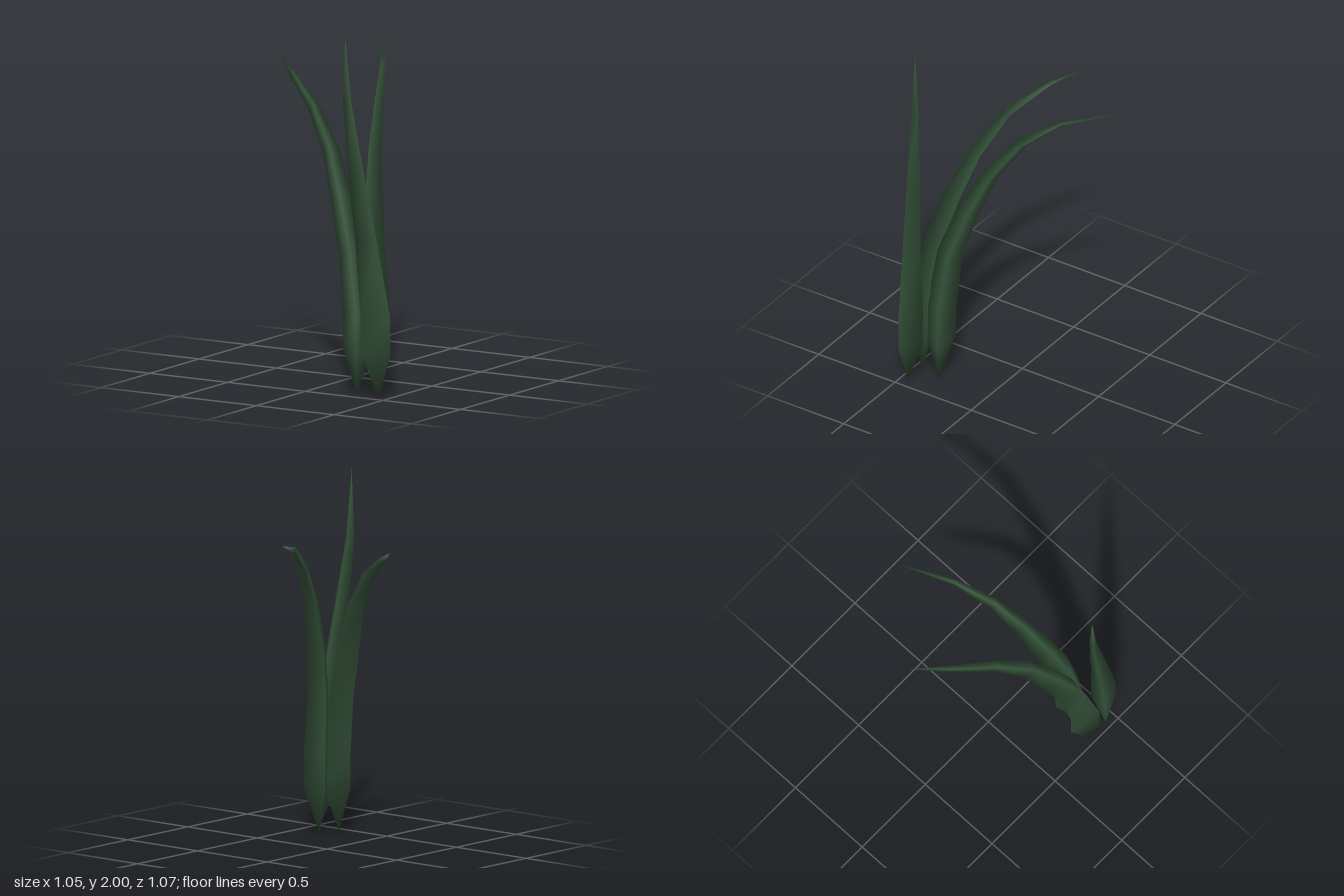
import * as THREE from 'three';
import { mergeVertices } from 'three/addons/utils/BufferGeometryUtils.js';

// Three-cornered cross-section: [distance from the spine, angle from the keel]
const SECTION = [[0.098, 0], [0.084, 2.2], [0.084, -2.2 + Math.PI * 2]];

// Each blade: keel direction (degrees, x towards z) and spine rings [x, y, z, size]
const BLADES = [
  { name: 'sideBlade', keel: 188, spine: [
    [0.3, 0, 0.45, 0], [0.297, 0.25, 0.445, 1], [0.295, 0.46, 0.443, 1],
    [0.237, 0.775, 0.41, 0.87], [0.14, 1.055, 0.355, 0.77], [0.023, 1.31, 0.28, 0.58],
    [-0.142, 1.515, 0.188, 0.4], [-0.352, 1.643, 0.055, 0.23], [-0.527, 1.715, -0.09, 0]] },
  { name: 'backBlade', keel: 210, spine: [
    [0.333, 0, 0.325, 0], [0.333, 0.25, 0.318, 1], [0.33, 0.46, 0.315, 1],
    [0.29, 0.8, 0.283, 0.87], [0.237, 1.055, 0.205, 0.77], [0.18, 1.31, 0.095, 0.58],
    [0.11, 1.54, -0.066, 0.4], [0.013, 1.692, -0.262, 0.23], [-0.138, 1.77, -0.533, 0]] },
  { name: 'uprightBlade', keel: 132, spine: [
    [0.442, 0, 0.455, 0], [0.442, 0.25, 0.452, 1], [0.437, 0.46, 0.453, 1],
    [0.387, 0.87, 0.477, 0.72], [0.335, 1.235, 0.497, 0.53],
    [0.285, 1.63, 0.517, 0.28], [0.27, 2, 0.522, 0]] },
];

// Sweeps the section along the spine, closing to a point at both ends
function bladeGeometry({ keel, spine }) {
  const up = new THREE.Vector3(0, 1, 0);
  const centres = spine.map(([x, y, z]) => new THREE.Vector3(x, y, z));
  const n = SECTION.length, last = spine.length - 1;
  const positions = [], index = [];
  spine.forEach((ring, j) => {
    const before = centres[Math.max(j - 1, 0)], after = centres[Math.min(j + 1, last)];
    const tilt = new THREE.Quaternion().setFromUnitVectors(up, after.clone().sub(before).normalize());
    for (const [r, a] of SECTION) {
      const t = THREE.MathUtils.degToRad(keel) + a;
      const p = new THREE.Vector3(Math.cos(t), 0, Math.sin(t)).multiplyScalar(r * ring[3]);
      positions.push(...p.applyQuaternion(tilt).add(centres[j]).toArray());
    }
  });
  for (let j = 0; j < last; j++) {
    for (let i = 0; i < n; i++) {
      const a = j * n + i, b = j * n + (i + 1) % n;
      if (j > 0) index.push(a, a + n, b);
      if (j < last - 1) index.push(b, a + n, b + n);
    }
    // the last band only needs one triangle per side, towards the tip
  }
  const geometry = new THREE.BufferGeometry();
  geometry.setAttribute('position', new THREE.Float32BufferAttribute(positions, 3));
  geometry.setIndex(index);
  const merged = mergeVertices(geometry, 1e-5);
  merged.computeVertexNormals();
  return merged;
}

export function createModel() {
  const group = new THREE.Group();
  group.name = 'grassTuft';
  const green = new THREE.MeshStandardMaterial({ color: 0x35533a });
  for (const blade of BLADES) {
    const mesh = new THREE.Mesh(bladeGeometry(blade), green);
    mesh.name = blade.name;
    group.add(mesh);
  }
  return group;
}
